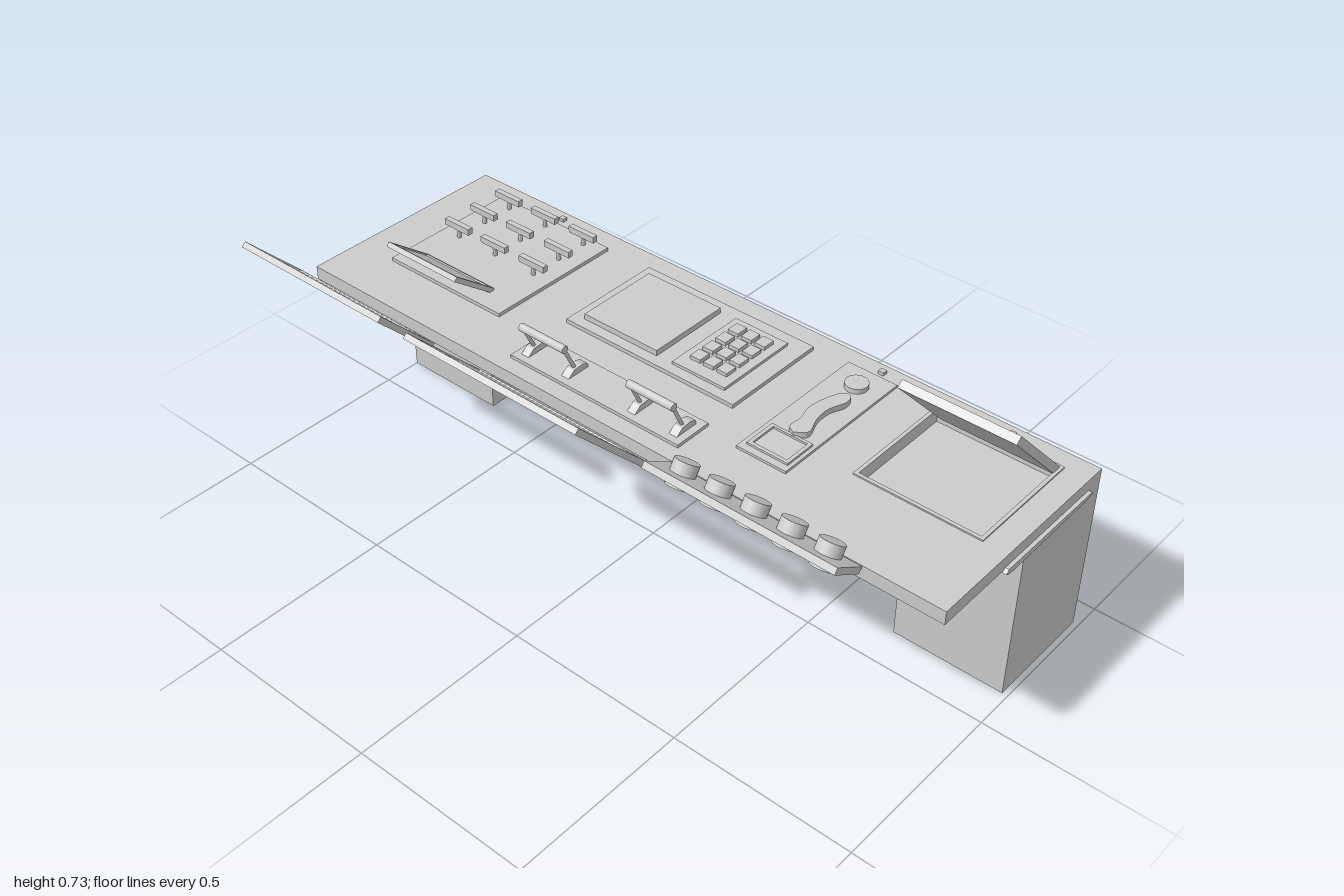
import * as THREE from 'three';

const mat = new THREE.MeshStandardMaterial({ color: 0xcccccc });

export function createModel() {
  const root = new THREE.Group();
  root.name = 'controlDesk';

  const add = (name, geo, parent = root) => {
    const m = new THREE.Mesh(geo, mat);
    m.name = name;
    parent.add(m);
    return m;
  };
  // Box given by its extents on each axis
  const box = (name, x0, x1, y0, y1, z0, z1, parent = root) => {
    const m = add(name, new THREE.BoxGeometry(x1 - x0, y1 - y0, z1 - z0), parent);
    m.position.set((x0 + x1) / 2, (y0 + y1) / 2, (z0 + z1) / 2);
    return m;
  };
  // Group lying along a line in the xy plane; local x runs down the line, local y is its normal
  const tilted = (name, x0, y0, x1, y1, z) => {
    const g = new THREE.Group();
    g.name = name;
    g.position.set((x0 + x1) / 2, (y0 + y1) / 2, z);
    g.rotation.z = Math.atan2(y1 - y0, x1 - x0);
    root.add(g);
    return [g, Math.hypot(x1 - x0, y1 - y0) / 2];
  };
  // Slanted screen: back plate with a raised rim around a recessed face
  const screen = (name, x0, y0, x1, y1, z0, z1, t) => {
    const [g, l] = tilted(name, x0, y0, x1, y1, (z0 + z1) / 2);
    const w = (z1 - z0) / 2, r = 0.01, e = t / 2, f = e - 0.004;
    box('screenPlate', -l, l, -e, f, -w, w, g);
    for (const s of [-1, 1]) {
      const a = s * l, b = s * (l - r), c = s * w, d = s * (w - r);
      box('screenRim', Math.min(a, b), Math.max(a, b), f, e, -w, w, g);
      box('screenRim', -l + r, l - r, f, e, Math.min(c, d), Math.max(c, d), g);
    }
  };
  // Rod between two points
  const rod = (name, a, b, r) => {
    const p = new THREE.Vector3(...a), d = new THREE.Vector3(...b).sub(p);
    const m = add(name, new THREE.CylinderGeometry(r, r, d.length(), 12));
    m.position.copy(p).addScaledVector(d, 0.5);
    m.quaternion.setFromUnitVectors(new THREE.Vector3(0, 1, 0), d.normalize());
  };
  const rect = (C, x0, x1, z0, z1) => new C().moveTo(x0, -z0).lineTo(x0, -z1).lineTo(x1, -z1).lineTo(x1, -z0).closePath();
  const flat = (name, shape, y, h) => {
    const geo = new THREE.ExtrudeGeometry(shape, { depth: h, bevelEnabled: false, curveSegments: 8 });
    add(name, geo.rotateX(-Math.PI / 2)).position.y = y;
  };

  // Desk top with storage opening, and two pedestals
  const top = rect(THREE.Shape, -0.2, 0.425, -1, 0.985);
  top.holes.push(rect(THREE.Path, 0.045, 0.36, 0.58, 0.91));
  flat('deskTop', top, 0.445, 0.038);
  box('pedestal', 0.11, 0.425, 0, 0.445, 0.675, 0.985);
  box('pedestal', 0.11, 0.425, 0, 0.445, -1, -0.69);

  // Storage tray below the opening, its frame and open lid
  const tray = new THREE.Shape().moveTo(0.05, 0.433).lineTo(0.36, 0.439).lineTo(0.38, 0.446)
    .lineTo(0.375, 0.45).lineTo(0.03, 0.45).lineTo(0.02, 0.441).lineTo(0.03, 0.435).closePath();
  add('storageTray', new THREE.ExtrudeGeometry(tray, { depth: 0.465, bevelEnabled: false })).position.z = 0.53;
  const frame = rect(THREE.Shape, 0.035, 0.37, 0.57, 0.92);
  frame.holes.push(rect(THREE.Path, 0.045, 0.36, 0.58, 0.91));
  flat('storageFrame', frame, 0.483, 0.004);
  screen('storageLid', 0.147, 0.692, 0.353, 0.482, 0.6, 0.912, 0.022);

  // Slanted screens
  screen('largeScreen', -0.487, 0.728, -0.272, 0.507, -0.325, 0.21, 0.016);
  screen('smallScreen', -0.456, 0.7, -0.3, 0.54, -0.94, -0.447, 0.016);
  screen('deskScreen', -0.11, 0.589, 0.015, 0.492, -0.81, -0.56, 0.014);

  // Knob panel on the rear edge
  const [knobPanel, half] = tilted('knobPanel', -0.3, 0.535, -0.207, 0.475, 0.5);
  box('knobPlate', -half, half, -0.009, 0.009, -0.27, 0.27, knobPanel);
  for (let i = 0; i < 5; i++) {
    const knob = add('knob', new THREE.CylinderGeometry(0.032, 0.032, 0.064, 24), knobPanel);
    knob.position.set(0.012, 0.008, -0.204 + i * 0.102);
  }

  // Paired levers with a cross grip
  box('leverPlate', -0.155, -0.045, 0.483, 0.492, -0.33, 0.21);
  for (const [z0, z1] of [[-0.3, -0.165], [0.048, 0.178]]) {
    for (const z of [z0, z1]) {
      const base = new THREE.Shape().moveTo(-0.135, 0.492).lineTo(-0.065, 0.492)
        .lineTo(-0.068, 0.504).lineTo(-0.085, 0.51).lineTo(-0.115, 0.508).closePath();
      const geo = new THREE.ExtrudeGeometry(base, { depth: 0.024, bevelEnabled: false });
      add('leverBase', geo).position.z = z - 0.012;
      rod('leverArm', [-0.1, 0.5, z], [-0.137, 0.577, z], 0.005);
    }
    rod('leverGrip', [-0.137, 0.577, z0 - 0.005], [-0.137, 0.577, z1 + 0.005], 0.011);
  }

  // Centre console: display and keypad
  box('consolePlate', 0.045, 0.36, 0.483, 0.494, -0.33, 0.21);
  box('consoleDisplay', 0.075, 0.32, 0.494, 0.51, -0.295, -0.055);
  box('keypadPlate', 0.075, 0.32, 0.494, 0.502, -0.005, 0.16);
  for (let i = 0; i < 4; i++) for (let j = 0; j < 3; j++) {
    const x = 0.13 + i * 0.0485, z = 0.036 + j * 0.042;
    box('key', x - 0.018, x + 0.018, 0.502, 0.512, z - 0.016, z + 0.016);
  }

  // Switch board with T-shaped switches
  box('switchPlate', -0.05, 0.36, 0.483, 0.493, -0.87, -0.475);
  for (const x of [0.138, 0.233, 0.328]) for (const z of [-0.81, -0.675, -0.535]) {
    rod('switchStem', [x, 0.49, z], [x, 0.522, z], 0.006);
    box('switchBar', x - 0.008, x + 0.008, 0.518, 0.536, z - 0.044, z + 0.044);
  }

  // Handset plate with slot, wavy handset and round button
  box('handsetPlate', -0.065, 0.37, 0.483, 0.49, 0.31, 0.455);
  const slot = rect(THREE.Shape, -0.045, 0.05, 0.325, 0.445);
  slot.holes.push(rect(THREE.Path, -0.035, 0.05 - 0.008, 0.335, 0.435));
  flat('slotFrame', slot, 0.49, 0.006);
  const handset = new THREE.Shape().setFromPoints(new THREE.SplineCurve([
    [0.045, -0.39], [0.06, -0.368], [0.1, -0.37], [0.14, -0.36], [0.19, -0.366], [0.24, -0.385],
    [0.245, -0.408], [0.215, -0.416], [0.17, -0.4], [0.12, -0.402], [0.07, -0.418], [0.045, -0.39],
  ].map(p => new THREE.Vector2(...p))).getPoints(40));
  flat('handset', handset, 0.49, 0.016);
  const button = add('roundButton', new THREE.CylinderGeometry(0.03, 0.03, 0.014, 24));
  button.position.set(0.3, 0.497, 0.385);

  // Small studs along the operator's edge
  for (const z of [-0.67, 0.395, 0.765]) box('stud', 0.385, 0.4, 0.483, 0.492, z - 0.008, z + 0.008);

  // Side button panel
  box('sidePanel', 0.425, 0.438, 0.045, 0.41, -0.937, -0.74);
  for (const y of [0.352, 0.27, 0.19]) for (const z of [-0.778, -0.84, -0.902])
    box('sideButton', 0.438, 0.45, y - 0.014, y + 0.014, z - 0.017, z + 0.017);

  // Hand wheel
  const wheel = new THREE.Group();
  wheel.name = 'handWheel';
  wheel.position.set(0.471, 0.271, 0.83);
  wheel.rotation.y = Math.PI / 2;
  root.add(wheel);
  add('wheelRim', new THREE.TorusGeometry(0.097, 0.019, 14, 40), wheel);
  add('wheelHub', new THREE.CylinderGeometry(0.024, 0.024, 0.016, 20).rotateX(Math.PI / 2), wheel);
  for (let i = 0; i < 4; i++) {
    const spoke = add('wheelSpoke', new THREE.BoxGeometry(0.09, 0.014, 0.012).translate(0.05, 0, 0), wheel);
    spoke.rotation.z = i * Math.PI / 2;
  }
  rod('wheelAxle', [0.42, 0.271, 0.83], [0.471, 0.271, 0.83], 0.015);

  return root;
}
